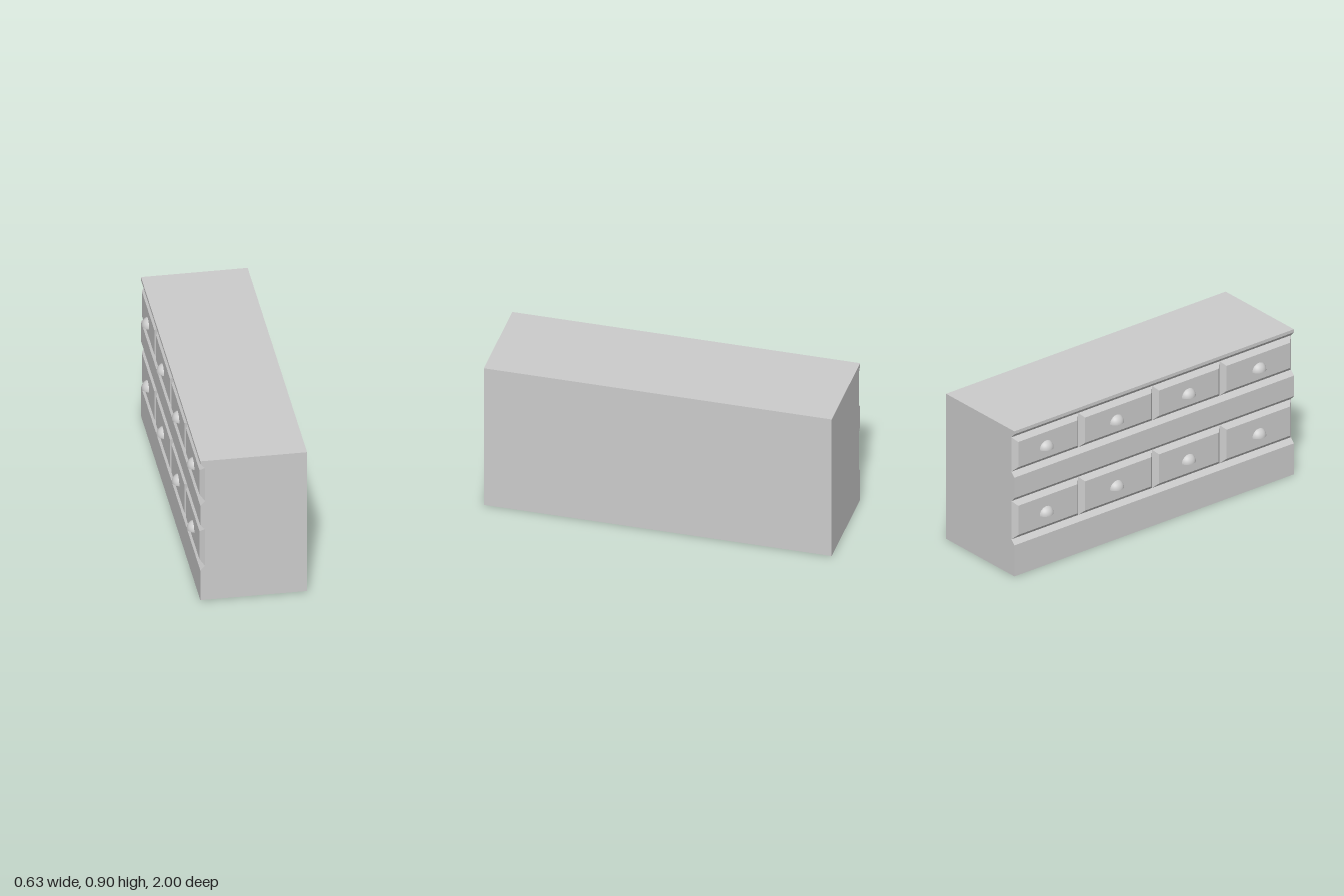
import * as THREE from 'three';

const material = new THREE.MeshStandardMaterial({ color: 0xcccccc });
const FACE = -0.283, RECESS = -0.257, BEVEL = 0.028;

function mesh(name, geometry) {
  const m = new THREE.Mesh(geometry, material);
  m.name = name;
  return m;
}

// Drawer panel: a box whose outer (-x) face is inset on all four sides
function drawerPanel(y0, y1, z0, z1) {
  const h = y1 - y0, w = z1 - z0;
  const g = new THREE.BoxGeometry(RECESS - FACE, h, w);
  const p = g.attributes.position;
  for (let i = 0; i < p.count; i++) {
    if (p.getX(i) > 0) continue;
    p.setY(i, Math.sign(p.getY(i)) * (h / 2 - BEVEL));
    p.setZ(i, Math.sign(p.getZ(i)) * (w / 2 - BEVEL));
  }
  g.computeVertexNormals();
  g.translate((FACE + RECESS) / 2, (y0 + y1) / 2, (z0 + z1) / 2);
  return mesh('drawerPanel', g);
}

// Cup pull: upper half of a ball with a flat underside
function cupPull(y, z) {
  const pull = new THREE.Group();
  pull.name = 'cupPull';
  const dome = mesh('pullDome', new THREE.SphereGeometry(0.05, 32, 12, 0, Math.PI * 2, 0, Math.PI / 2));
  const base = mesh('pullUnderside', new THREE.CircleGeometry(0.05, 32).rotateX(Math.PI / 2));
  pull.add(dome, base);
  pull.position.set(-0.268, y, z);
  return pull;
}

export function createModel() {
  const model = new THREE.Group();
  model.name = 'chestOfDrawers';

  const rows = [
    { y0: 0.22, y1: 0.457, pullY: 0.316 },
    { y0: 0.64, y1: 0.853, pullY: 0.724 },
  ];
  const joints = [-1, -0.522, 0.007, 0.49, 0.998];
  const pullZ = [-0.771, -0.268, 0.246, 0.75];

  // Carcass: side profile with one bevelled recess per drawer row
  const profile = [[FACE, 0.9]];
  for (const r of [...rows].reverse()) {
    profile.push([FACE, r.y1 + BEVEL], [RECESS, r.y1], [RECESS, r.y0], [FACE, r.y0 - BEVEL]);
  }
  profile.push([FACE, 0], [0.317, 0], [0.317, 0.9]);
  const shape = new THREE.Shape(profile.map(([x, y]) => new THREE.Vector2(x, y)));
  const carcass = new THREE.ExtrudeGeometry(shape, { depth: 2, bevelEnabled: false });
  carcass.translate(0, 0, -1);
  model.add(mesh('carcass', carcass));

  // Two rows of four drawers, each with its pull
  for (const r of rows) {
    for (let i = 0; i < 4; i++) {
      const drawer = new THREE.Group();
      drawer.name = 'drawer';
      drawer.add(drawerPanel(r.y0, r.y1, joints[i], joints[i + 1]), cupPull(r.pullY, pullZ[i]));
      model.add(drawer);
    }
  }
  return model;
}
